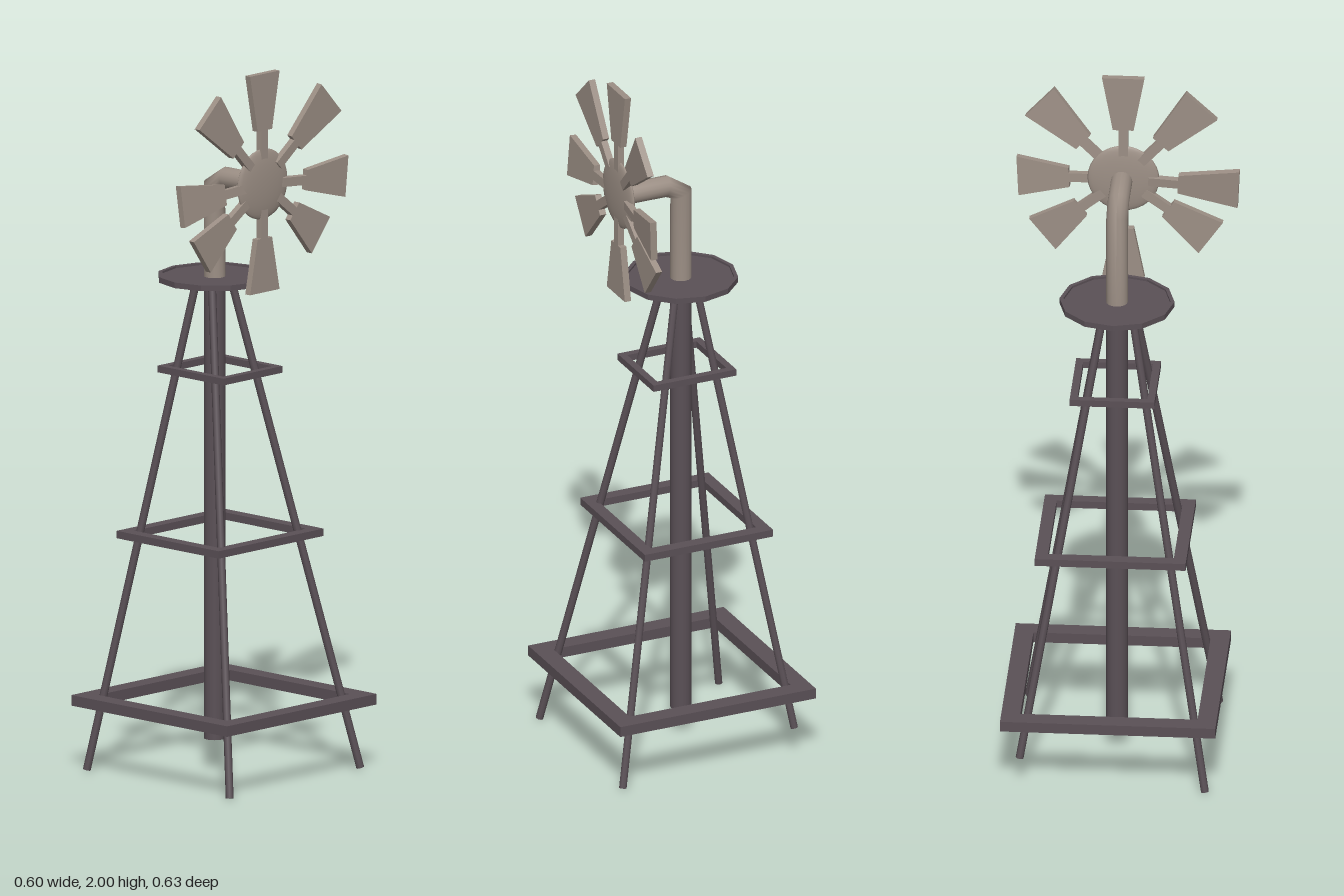
import * as THREE from 'three';

const iron = new THREE.MeshStandardMaterial({ color: 0x5a5056 });
iron.name = 'dark iron';
const tan = new THREE.MeshStandardMaterial({ color: 0x9c8f85 });
tan.name = 'weathered tan';

const AXIS_X = -0.03, AXIS_Z = -0.012;

function add(parent, geometry, material, name) {
  const mesh = new THREE.Mesh(geometry, material);
  mesh.name = name;
  parent.add(mesh);
  return mesh;
}

function faceted(geometry) {
  const g = geometry.toNonIndexed();
  g.computeVertexNormals();
  return g;
}

// straight round bar from a to b
function bar(parent, a, b, radius, sides, name) {
  const dir = b.clone().sub(a);
  const mesh = add(parent, new THREE.CylinderGeometry(radius, radius, dir.length(), sides), iron, name);
  mesh.position.copy(a).add(b).multiplyScalar(0.5);
  mesh.quaternion.setFromUnitVectors(new THREE.Vector3(0, 1, 0), dir.normalize());
  return mesh;
}

// square ring lying flat
function frame(parent, [x0, x1, z0, z1], border, y, height, name) {
  const rect = (Path, b) => new Path([[x0 + b, -z1 + b], [x1 - b, -z1 + b], [x1 - b, -z0 - b], [x0 + b, -z0 - b]]
    .map(([x, z]) => new THREE.Vector2(x, z)));
  const shape = rect(THREE.Shape, 0);
  shape.holes.push(rect(THREE.Path, border));
  const g = new THREE.ExtrudeGeometry(shape, { depth: height, bevelEnabled: false });
  g.rotateX(-Math.PI / 2).translate(0, y - height / 2, 0);
  add(parent, g, iron, name);
}

// pipe with mitred bends: each ring is [x, y, half-vector x, half-vector y]
function mitredPipe(rings, radius, sides) {
  const pos = [], index = [];
  for (const [x, y, ux, uy] of rings) {
    for (let i = 0; i <= sides; i++) {
      const t = (i / sides) * Math.PI * 2, c = Math.cos(t);
      pos.push(x + ux * c, y + uy * c, AXIS_Z + radius * Math.sin(t));
    }
  }
  for (let r = 0; r < rings.length - 1; r++) {
    for (let i = 0; i < sides; i++) {
      const a = r * (sides + 1) + i, b = a + sides + 1;
      index.push(a, a + 1, b, a + 1, b + 1, b);
    }
  }
  const g = new THREE.BufferGeometry();
  g.setAttribute('position', new THREE.Float32BufferAttribute(pos, 3));
  g.setIndex(index);
  g.computeVertexNormals();
  return g;
}

function bladeGeometry(length) {
  const half = [[0.013, 0.07], [0.013, 0.153], [0.029, 0.153], [0.059, length]];
  const outline = [...half, ...half.map(([x, y]) => [-x, y]).reverse()];
  const shape = new THREE.Shape(outline.map(([x, y]) => new THREE.Vector2(x, y)));
  return new THREE.ExtrudeGeometry(shape, { depth: 0.019, bevelEnabled: false }).translate(0, 0, -0.0095);
}

export function createModel() {
  const model = new THREE.Group();
  model.name = 'windPump';

  // tower
  const tower = new THREE.Group();
  tower.name = 'tower';
  model.add(tower);
  bar(tower, new THREE.Vector3(AXIS_X, 0.085, AXIS_Z), new THREE.Vector3(AXIS_X, 1.39, AXIS_Z), 0.03, 16, 'centrePole');

  // legs: foot x, z, top x, z, height where the foot is cut
  const legs = [
    [0.28, 0.25, 0, 0.03, 0],
    [0.275, -0.28, 0, -0.045, 0.005],
    [-0.27, 0.25, -0.058, 0.03, 0],
    [-0.27, -0.28, -0.058, -0.045, 0.08],
  ];
  for (const [fx, fz, tx, tz, cut] of legs) {
    const foot = new THREE.Vector3(fx, 0, fz), top = new THREE.Vector3(tx, 1.39, tz);
    bar(tower, foot.clone().lerp(top, cut / 1.39), top, 0.011, 8, 'leg');
  }

  frame(tower, [-0.3, 0.3, -0.318, 0.281], 0.053, 0.197, 0.03, 'lowerFrame');
  frame(tower, [-0.211, 0.182, -0.228, 0.192], 0.035, 0.667, 0.021, 'middleFrame');
  frame(tower, [-0.142, 0.112, -0.136, 0.1], 0.021, 1.133, 0.019, 'upperFrame');

  // platform with a low rim
  const profile = [[0, 1.386], [0.16, 1.386], [0.16, 1.402], [0.149, 1.402], [0.149, 1.396], [0, 1.396]];
  const platform = add(tower, faceted(new THREE.LatheGeometry(profile.map(([x, y]) => new THREE.Vector2(x, y)), 12)), iron, 'platform');
  platform.position.set(AXIS_X, 0, AXIS_Z);

  // bent pipe carrying the wheel
  const pipe = [
    [-0.03, 1.39, -0.03, 0],
    [-0.03, 1.655, -0.029, 0.012],
    [0.016, 1.682, -0.006, 0.03],
    [0.155, 1.682, 0, 0.03],
  ];
  add(model, mitredPipe(pipe, 0.03, 16), tan, 'bentPipe');

  // wheel facing +x
  const wheel = new THREE.Group();
  wheel.name = 'wheel';
  wheel.position.set(0.158, 1.686, -0.008);
  wheel.rotation.y = Math.PI / 2;
  model.add(wheel);
  add(wheel, new THREE.SphereGeometry(0.1, 24, 16).scale(1, 1, 0.14), tan, 'hub');

  // blades: angle from the top in degrees, tip radius, outward lean, twist
  const blades = [
    [0, 0.314, 0, 0], [47.5, 0.32, 0.1, 0], [93, 0.298, 0.11, 0.05], [128.5, 0.287, 0, 0],
    [180, 0.306, 0, 0], [-125, 0.298, -0.02, 0], [-93, 0.322, -0.02, 0.1], [-43, 0.32, 0, 0],
  ];
  for (const [angle, length, lean, twist] of blades) {
    const blade = add(wheel, bladeGeometry(length), tan, 'blade');
    blade.rotation.set(lean, twist, -THREE.MathUtils.degToRad(angle), 'ZYX');
  }
  return model;
}
